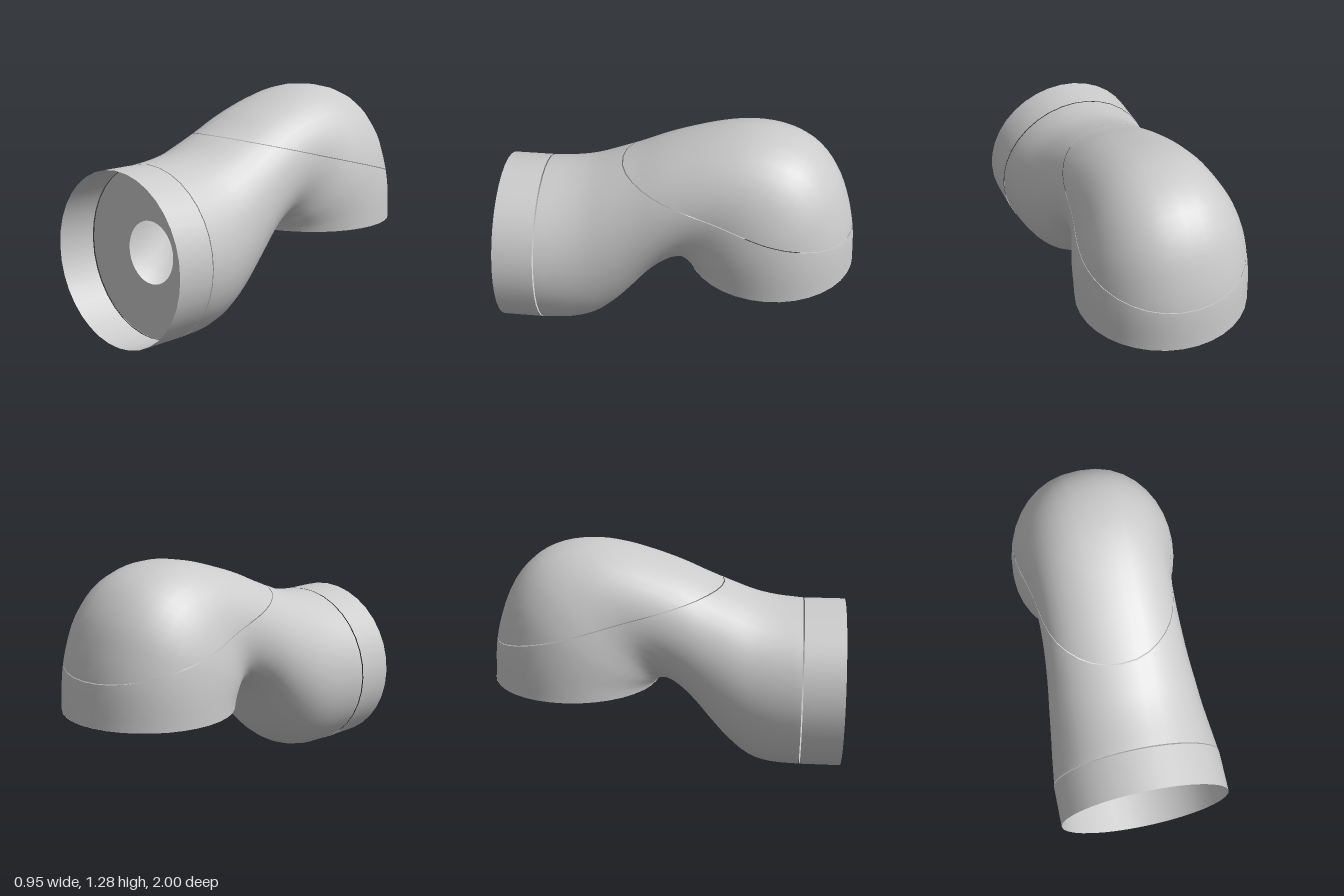
import * as THREE from 'three';

const SIDES = 36;
const material = new THREE.MeshStandardMaterial({ color: 0xcccccc, side: THREE.DoubleSide });

// Elbow sections: [outer z, outer y, inner z, inner y, half width]
const SECTIONS = [
  [0.765, 0.955, 0.765, 0, 0.475],
  [0.62, 0.97, 0.6, 0.01, 0.457],
  [0.5, 0.995, 0.48, 0.05, 0.44],
  [0.36, 1.045, 0.36, 0.15, 0.422],
  [0.22, 1.1, 0.27, 0.255, 0.405],
  [0.08, 1.16, 0.19, 0.36, 0.393],
  [-0.08, 1.215, 0.12, 0.44, 0.386],
  [-0.25, 1.26, 0.06, 0.49, 0.386],
  [-0.42, 1.28, 0.02, 0.508, 0.395],
  [-0.6, 1.255, 0, 0.512, 0.415],
  [-0.75, 1.18, -0.015, 0.51, 0.44],
  [-0.87, 1.04, -0.028, 0.505, 0.462],
  [-0.94, 0.87, -0.04, 0.497, 0.472],
  [-0.98, 0.7, -0.047, 0.488, 0.475],
  [-0.995, 0.48, -0.05, 0.48, 0.475],
];

// Hollow bent pipe lofted through the sections
function elbowGeometry() {
  const outer = new THREE.CatmullRomCurve3(SECTIONS.map((s) => new THREE.Vector3(s[4], s[1], s[0])));
  const inner = new THREE.CatmullRomCurve3(SECTIONS.map((s) => new THREE.Vector3(s[4], s[3], s[2])));
  const rows = (SECTIONS.length - 1) * 3;
  const positions = [];
  const index = [];
  for (let i = 0; i <= rows; i++) {
    const t = i / rows;
    const o = outer.getPoint(t);
    const n = inner.getPoint(t);
    const power = 1 - 0.15 * Math.sin(Math.PI * t); // middle sections are slightly squarer
    for (let j = 0; j < SIDES; j++) {
      const a = (j / SIDES) * Math.PI * 2;
      const c = Math.cos(a);
      const s = Math.sin(a);
      const k = 0.5 + 0.5 * s;
      positions.push(
        o.x * Math.sign(c) * Math.abs(c) ** power,
        n.y + (o.y - n.y) * k,
        n.z + (o.z - n.z) * k,
      );
      if (i < rows) {
        const p = i * SIDES + j;
        const q = i * SIDES + ((j + 1) % SIDES);
        index.push(p, p + SIDES, q, q, p + SIDES, q + SIDES);
      }
    }
  }
  const geometry = new THREE.BufferGeometry();
  geometry.setAttribute('position', new THREE.Float32BufferAttribute(positions, 3));
  geometry.setIndex(index);
  geometry.computeVertexNormals();
  return geometry;
}

// Keep the part of a geometry on the positive side of a plane
function clip(geometry, plane) {
  const source = geometry.toNonIndexed();
  const { position, normal } = source.attributes;
  const positions = [];
  const normals = [];
  for (let f = 0; f < position.count; f += 3) {
    const corners = [0, 1, 2].map((k) => {
      const p = new THREE.Vector3().fromBufferAttribute(position, f + k);
      const n = new THREE.Vector3().fromBufferAttribute(normal, f + k);
      return { p, n, d: plane.distanceToPoint(p) };
    });
    const kept = [];
    corners.forEach((a, k) => {
      const b = corners[(k + 1) % 3];
      if (a.d >= 0) kept.push(a);
      if (a.d >= 0 !== b.d >= 0) {
        const t = a.d / (a.d - b.d);
        kept.push({ p: a.p.clone().lerp(b.p, t), n: a.n.clone().lerp(b.n, t).normalize() });
      }
    });
    for (let k = 1; k + 1 < kept.length; k++) {
      for (const v of [kept[0], kept[k], kept[k + 1]]) {
        positions.push(...v.p.toArray());
        normals.push(...v.n.toArray());
      }
    }
  }
  const result = new THREE.BufferGeometry();
  result.setAttribute('position', new THREE.Float32BufferAttribute(positions, 3));
  result.setAttribute('normal', new THREE.Float32BufferAttribute(normals, 3));
  return result;
}

export function createModel() {
  const model = new THREE.Group();
  model.name = 'pipeElbow';
  const add = (name, geometry, x = 0, y = 0, z = 0) => {
    const mesh = new THREE.Mesh(geometry, material);
    mesh.name = name;
    mesh.position.set(x, y, z);
    model.add(mesh);
    return mesh;
  };

  // Elbow split along a sloping seam into body and cap
  const elbow = elbowGeometry();
  const up = new THREE.Vector3(0, 1.3, -0.345).normalize();
  const seam = new THREE.Vector3(0, 1.06, 0.32);
  const capPlane = new THREE.Plane().setFromNormalAndCoplanarPoint(up, seam);
  const bodyPlane = capPlane.clone().negate();
  capPlane.constant -= 0.002;
  bodyPlane.constant -= 0.002;
  add('elbowBody', clip(elbow, bodyPlane));
  add('elbowCap', clip(elbow, capPlane));

  // Open collar at the front
  const collar = new THREE.CylinderGeometry(0.4775, 0.4775, 0.228, SIDES, 1, true).rotateX(Math.PI / 2);
  add('frontCollar', collar, 0, 0.4775, 0.886);

  // End walls with round openings
  const wall = (radius) => {
    const shape = new THREE.Shape().absarc(0, 0, radius, 0, Math.PI * 2);
    shape.holes.push(new THREE.Path().absarc(0, 0, 0.174, 0, Math.PI * 2, true));
    return new THREE.ShapeGeometry(shape, 18);
  };
  add('frontWall', wall(0.476), 0, 0.4775, 0.765);
  add('bottomWall', wall(0.4735).rotateX(Math.PI / 2), 0, 0.48, -0.5225);

  return model;
}
